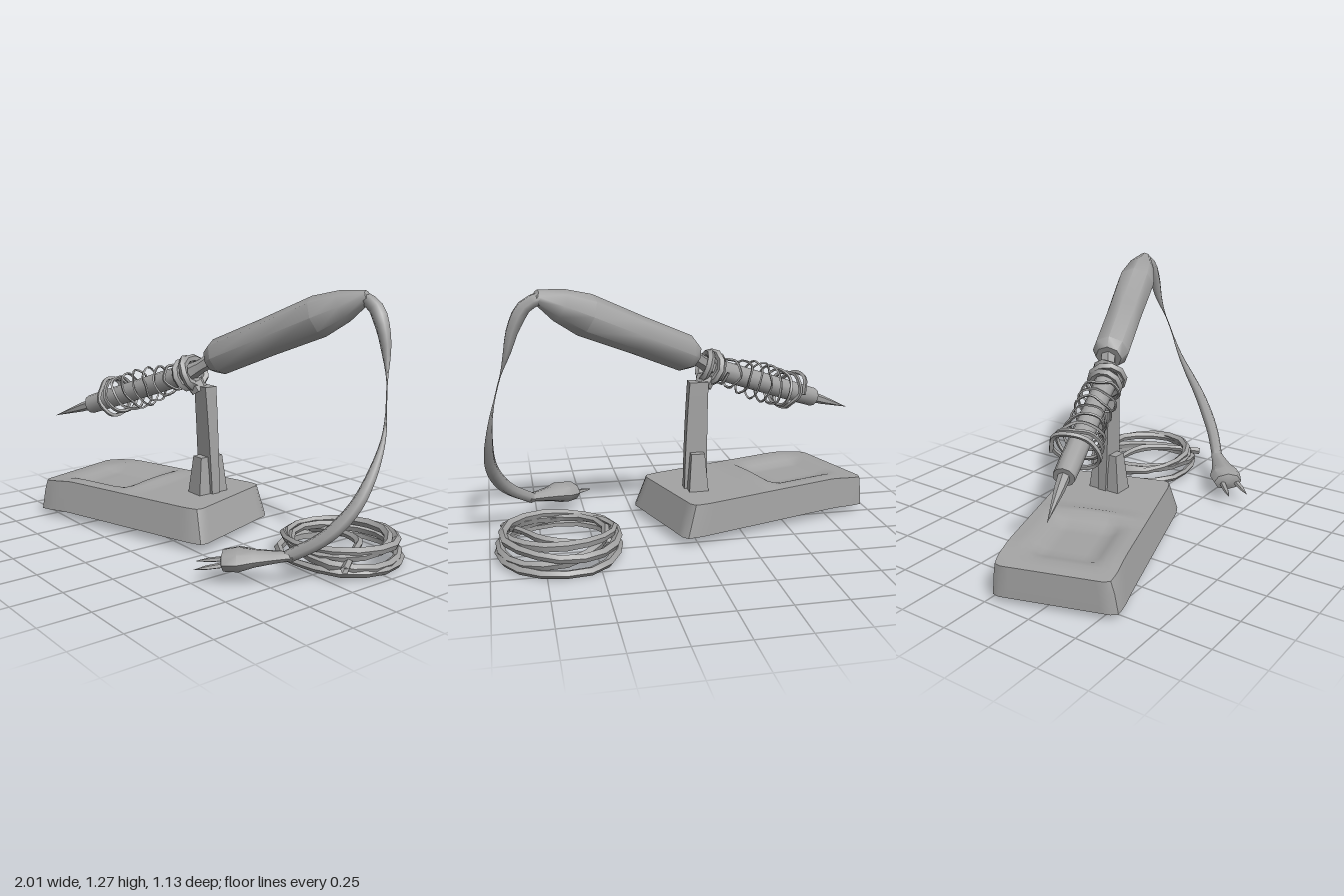
import * as THREE from 'three';
import { toCreasedNormals } from 'three/addons/utils/BufferGeometryUtils.js';

const V = (x, y, z) => new THREE.Vector3(x, y, z);

export function createModel() {
  const model = new THREE.Group();
  model.name = 'solderingIronOnStand';
  const grey = new THREE.MeshStandardMaterial({ color: 0xa3a3a3, side: THREE.DoubleSide });
  grey.name = 'grey';

  const add = (name, geometry, crease = 0.8) => {
    const mesh = new THREE.Mesh(toCreasedNormals(geometry, crease), grey);
    mesh.name = name;
    model.add(mesh);
    return mesh;
  };

  // Turned part from a to b; profile holds [radius, distance along the axis]
  const rod = (name, a, b, profile, sides = 8, flat = 1) => {
    const geometry = new THREE.LatheGeometry(profile.map(([r, t]) => new THREE.Vector2(r, t)), sides);
    geometry.rotateX(Math.PI / 2).scale(1, flat, 1);
    const mesh = add(name, geometry);
    mesh.position.copy(a);
    mesh.lookAt(b);
    return mesh;
  };

  // Tube whose radius follows a list spread evenly along its length
  const cable = (name, points, radii, steps, sides = 6, closed = false) => {
    const curve = new THREE.CatmullRomCurve3(points, closed);
    const geometry = new THREE.TubeGeometry(curve, steps, 1, sides, closed);
    const p = geometry.attributes.position, n = geometry.attributes.normal;
    for (let k = 0; k < p.count; k++) {
      const u = Math.floor(k / (sides + 1)) / steps;
      const s = u * (radii.length - 1), i = Math.min(Math.floor(s), radii.length - 2);
      const r = THREE.MathUtils.lerp(radii[i], radii[i + 1], s - i);
      const c = curve.getPointAt(closed ? u % 1 : u);
      p.setXYZ(k, c.x + n.getX(k) * r, c.y + n.getY(k) * r, c.z + n.getZ(k) * r);
    }
    return add(name, geometry, 1.1);
  };

  // Box reshaped by a rule on its vertices
  const shaped = (name, size, segments, rule) => {
    const geometry = new THREE.BoxGeometry(...size, ...segments);
    const p = geometry.attributes.position, v = V(0, 0, 0);
    for (let k = 0; k < p.count; k++) {
      rule(v.fromBufferAttribute(p, k));
      p.setXYZ(k, v.x, v.y, v.z);
    }
    return add(name, geometry, 0.7);
  };

  // Base: sloping sides, clipped corners, a shallow tray and a drooping left end
  const base = shaped('base', [1.1, 0.16, 0.6], [24, 2, 14], (v) => {
    const top = (v.y + 0.08) / 0.16;
    const ex = Math.abs(v.x) / 0.55, ez = Math.abs(v.z) / 0.3;
    const inTray = THREE.MathUtils.smoothstep(0.21 - Math.abs(v.x + 0.23), 0, 0.06)
      * THREE.MathUtils.smoothstep(0.2 - Math.abs(v.z), 0, 0.06);
    const ridge = Math.max(0, 1 - Math.abs(v.x - 0.02) / 0.06) * Math.max(0, 1 - ez * ez);
    const droop = Math.max(0, -v.x - 0.35) * 0.12;
    if (top > 0.9) v.y += 0.025 * ridge - 0.035 * inTray - droop;
    if (top < 0.1) v.y -= droop * 0.6;
    const clip = Math.max(0, ex + ez - 1.86) * 0.2;
    v.x *= 1 - clip - (v.x > 0 ? 0.09 : 0.01) * top;
    v.z *= 1 - clip * 1.3 - (v.z > 0 ? 0.12 : 0.04) * top;
  });
  base.position.set(-0.367, 0.13, 0.133);
  base.rotation.y = 0.307;

  // Upright post, leaning to the iron, with two splayed feet
  const post = shaped('post', [0.1, 0.56, 0.062], [2, 8, 2], (v) => {
    const t = (v.y + 0.28) / 0.56;
    v.x = v.x * (1.2 - 0.25 * t) - 0.016 * t * t;
    v.z = v.z * (0.75 + 0.35 * t) + 0.012 * t - 0.006;
  });
  post.position.set(-0.042, 0.48, 0);
  for (const side of [1, -1]) {
    const foot = shaped('postFoot', [0.08, 0.2, 0.06], [2, 4, 2], (v) => {
      const t = (v.y + 0.1) / 0.2;
      v.x *= 1.25 - 0.4 * t;
      v.z = v.z * (1.1 - 0.3 * t) + side * 0.014 * (1 - t);
    });
    foot.position.set(-0.045, 0.3, side * 0.042);
  }

  // Iron: tip, barrel, neck and handle on one slanting line
  const tipEnd = V(-1, 0.49, 0.365), barrelEnd = V(-0.76, 0.582, 0.268), collarAt = V(-0.13, 0.82, 0.05);
  const handleStart = V(-0.03, 0.893, -0.012), handleEnd = V(0.75, 1.25, -0.305);
  rod('tip', tipEnd, barrelEnd, [[0, 0], [0.012, 0.1], [0.024, 0.2], [0.03, 0.3]], 6);
  rod('barrel', barrelEnd, collarAt,
    [[0, 0], [0.05, 0], [0.052, 0.1], [0.052, 0.6], [0.056, 0.7], [0, 0.7]], 10);
  rod('neck', collarAt, handleStart, [[0, 0], [0.045, 0], [0.034, 0.07], [0.04, 0.18], [0, 0.18]], 6);
  rod('handle', handleStart, handleEnd,
    [[0, 0], [0.065, 0], [0.092, 0.05], [0.093, 0.35], [0.1, 0.64], [0.075, 0.78], [0.03, 0.9], [0, 0.91]], 8);

  // Collar of wire rings that grips the iron on the post
  [[0, 0.078, 0.2], [0.03, 0.07, -0.3], [-0.035, 0.068, -0.1]].forEach(([shift, radius, tilt]) => {
    const ring = add('collarRing', new THREE.TorusGeometry(radius, 0.02, 5, 10));
    const axis = handleStart.clone().sub(barrelEnd).normalize();
    ring.position.copy(collarAt).addScaledVector(axis, shift);
    ring.lookAt(ring.position.clone().add(axis));
    ring.rotateY(tilt);
  });
  rod('collarClamp', V(-0.085, 0.73, 0.02), V(-0.12, 0.8, 0.045), [[0, 0], [0.045, 0], [0.05, 0.05], [0, 0.08]], 7);

  // Coil spring around the barrel, wider toward the tip
  const axis = collarAt.clone().sub(barrelEnd).normalize();
  const across = V(0, 1, 0).cross(axis).normalize(), upward = axis.clone().cross(across);
  const turns = 8, perTurn = 8, spring = [];
  for (let i = 0; i <= turns * perTurn; i++) {
    const t = i / (turns * perTurn), a = (i / perTurn) * Math.PI * 2;
    const r = 0.108 - 0.033 * t + 0.012 * Math.sin(i * 1.7);
    spring.push(barrelEnd.clone().addScaledVector(axis, 0.155 + 0.495 * Math.pow(t, 1.25) + 0.008 * Math.sin(i * 2.9))
      .addScaledVector(across, r * Math.cos(a)).addScaledVector(upward, r * Math.sin(a)));
  }
  cable('spring', spring, [0.012, 0.01, 0.006, 0.006, 0.008], 192, 4);

  // Cord falling from the handle to the plug, pinched thin on the way
  cable('cord', [
    V(0.72, 1.24, -0.3), V(0.79, 1.205, -0.303), V(0.845, 1.11, -0.3), V(0.88, 0.99, -0.29), V(0.93, 0.82, -0.245),
    V(0.968, 0.64, -0.19), V(0.978, 0.42, -0.06), V(0.945, 0.31, 0.02), V(0.89, 0.23, 0.09), V(0.78, 0.145, 0.18),
  ], [0.03, 0.036, 0.024, 0.003, 0.003, 0.012, 0.023, 0.03, 0.034, 0.032, 0.03], 32);

  // Loops of cord lying on the ground: centre, half sizes, height, tilt
  [
    [0.67, -0.25, 0.285, 0.29, 0.038, 0.012],
    [0.66, -0.265, 0.27, 0.27, 0.11, 0.02],
    [0.7, -0.25, 0.25, 0.26, 0.08, -0.03],
    [0.67, -0.23, 0.26, 0.23, 0.115, 0.015],
  ].forEach(([cx, cz, rx, rz, y, tilt], j) => {
    const loop = [];
    for (let i = 0; i < 9; i++) {
      const a = (i / 9) * Math.PI * 2 + j * 0.5, w = 1 + 0.04 * Math.sin(i * 2.3 + j);
      loop.push(V(cx + rx * w * Math.cos(a), y + tilt * Math.sin(a + j), cz + rz * w * Math.sin(a)));
    }
    cable('cordLoop', loop, [0.024, 0.017, 0.024, 0.02, 0.024], 16, 5, true);
  });

  // Loose strand crossing the inside of the loops
  cable('cordStrand', [V(0.4, 0.07, -0.31), V(0.58, 0.09, -0.34), V(0.74, 0.1, -0.3), V(0.84, 0.1, -0.16), V(0.93, 0.08, -0.02)],
    [0.02, 0.016, 0.022, 0.016, 0.02], 12, 5);

  // Plug with two prongs
  const plugBack = V(0.8, 0.15, 0.165), plugFront = V(0.56, 0.105, 0.37);
  rod('plug', plugBack, plugFront,
    [[0, 0], [0.03, 0], [0.042, 0.08], [0.06, 0.17], [0.085, 0.24], [0.075, 0.31], [0, 0.33]], 8, 0.65);
  for (const [from, to] of [[V(0.54, 0.1, 0.35), V(0.445, 0.08, 0.44)], [V(0.6, 0.1, 0.4), V(0.525, 0.08, 0.505)]]) {
    rod('prong', from, to, [[0, 0], [0.018, 0], [0.014, 0.07], [0, 0.13]], 5, 0.7);
  }

  return model;
}
